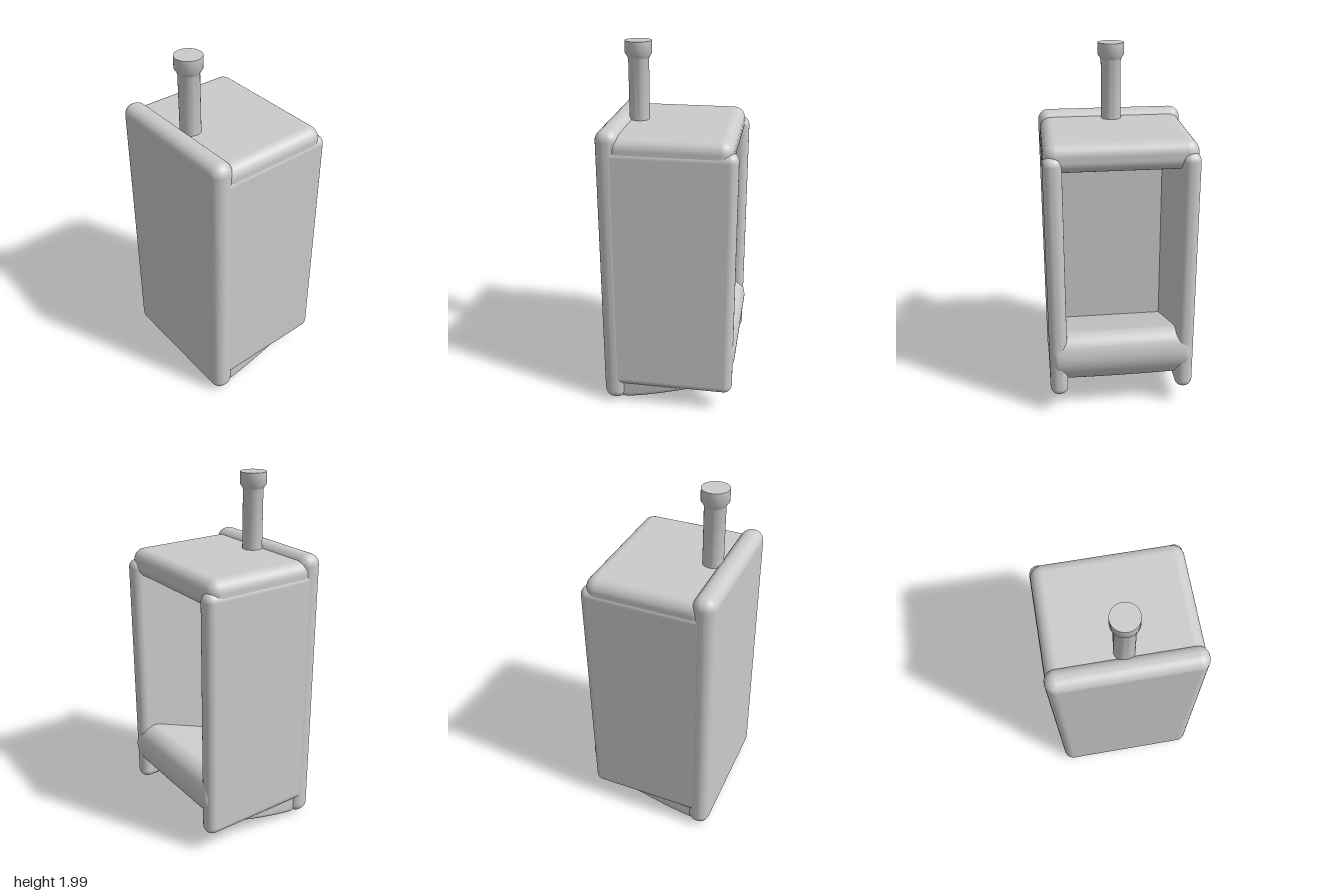
import * as THREE from 'three';
import { RoundedBoxGeometry } from 'three/addons/geometries/RoundedBoxGeometry.js';
import { toCreasedNormals } from 'three/addons/utils/BufferGeometryUtils.js';

const material = new THREE.MeshStandardMaterial({ color: 0xcccccc });

function add(group, name, geometry) {
  const mesh = new THREE.Mesh(geometry, material);
  mesh.name = name;
  group.add(mesh);
  return mesh;
}

// Padded panel given by its extents on each axis
function panel(group, name, [x0, x1], [y0, y1], [z0, z1], radius) {
  const geometry = new RoundedBoxGeometry(x1 - x0, y1 - y0, z1 - z0, 4, radius);
  add(group, name, geometry).position.set((x0 + x1) / 2, (y0 + y1) / 2, (z0 + z1) / 2);
}

// Thick tilted cushion: side profile swept along z, with a crowned underside
function seatGeometry() {
  const front = [[0.16, 0.12], [0.285, 0.195], [0.35, 0.275], [0.37, 0.36], [0.345, 0.445], [0.285, 0.485], [0.21, 0.468]];
  const shape = new THREE.Shape();
  shape.moveTo(-0.3, 0.05);
  shape.quadraticCurveTo(-0.29, 0.008, -0.24, 0.01);
  shape.quadraticCurveTo(-0.08, 0.03, 0.16, 0.12);
  shape.splineThru(front.slice(1).map(([x, y]) => new THREE.Vector2(x, y)));
  shape.lineTo(-0.3, 0.27);
  shape.closePath();
  const bevel = 0.03, half = 0.385;
  const geometry = new THREE.ExtrudeGeometry(shape, {
    depth: 2 * (half - bevel), steps: 12, curveSegments: 20,
    bevelEnabled: true, bevelSize: bevel, bevelThickness: bevel, bevelOffset: -bevel, bevelSegments: 4,
  });
  geometry.translate(0, 0, bevel - half);
  const p = geometry.attributes.position;
  for (let i = 0; i < p.count; i++) {
    const low = THREE.MathUtils.clamp((0.25 - p.getY(i)) / 0.2, 0, 1);
    p.setY(i, p.getY(i) + 0.02 * low * (p.getZ(i) / half) ** 2);
  }
  return toCreasedNormals(geometry, 0.7);
}

export function createModel() {
  const model = new THREE.Group();
  model.name = 'boothChair';

  // Shell panels
  panel(model, 'backPanel', [-0.37, -0.245], [0.02, 1.615], [-0.408, 0.408], 0.058);
  panel(model, 'topPanel', [-0.32, 0.335], [1.427, 1.583], [-0.402, 0.402], 0.065);
  for (const [name, s] of [['leftPanel', 1], ['rightPanel', -1]]) {
    const z = [0.307 * s, 0.406 * s].sort((a, b) => a - b);
    panel(model, name, [-0.33, 0.36], [0.122, 1.523], z, 0.046);
  }

  // Seat
  add(model, 'seat', seatGeometry());

  // Post with a flared cap
  const profile = [[0, 1.5], [0.055, 1.5], [0.055, 1.905], [0.06, 1.918], [0.072, 1.935], [0.072, 2], [0, 2]];
  const post = new THREE.LatheGeometry(profile.map(([r, y]) => new THREE.Vector2(r, y)), 40);
  add(model, 'post', toCreasedNormals(post, 0.7)).position.x = -0.213;

  return model;
}
